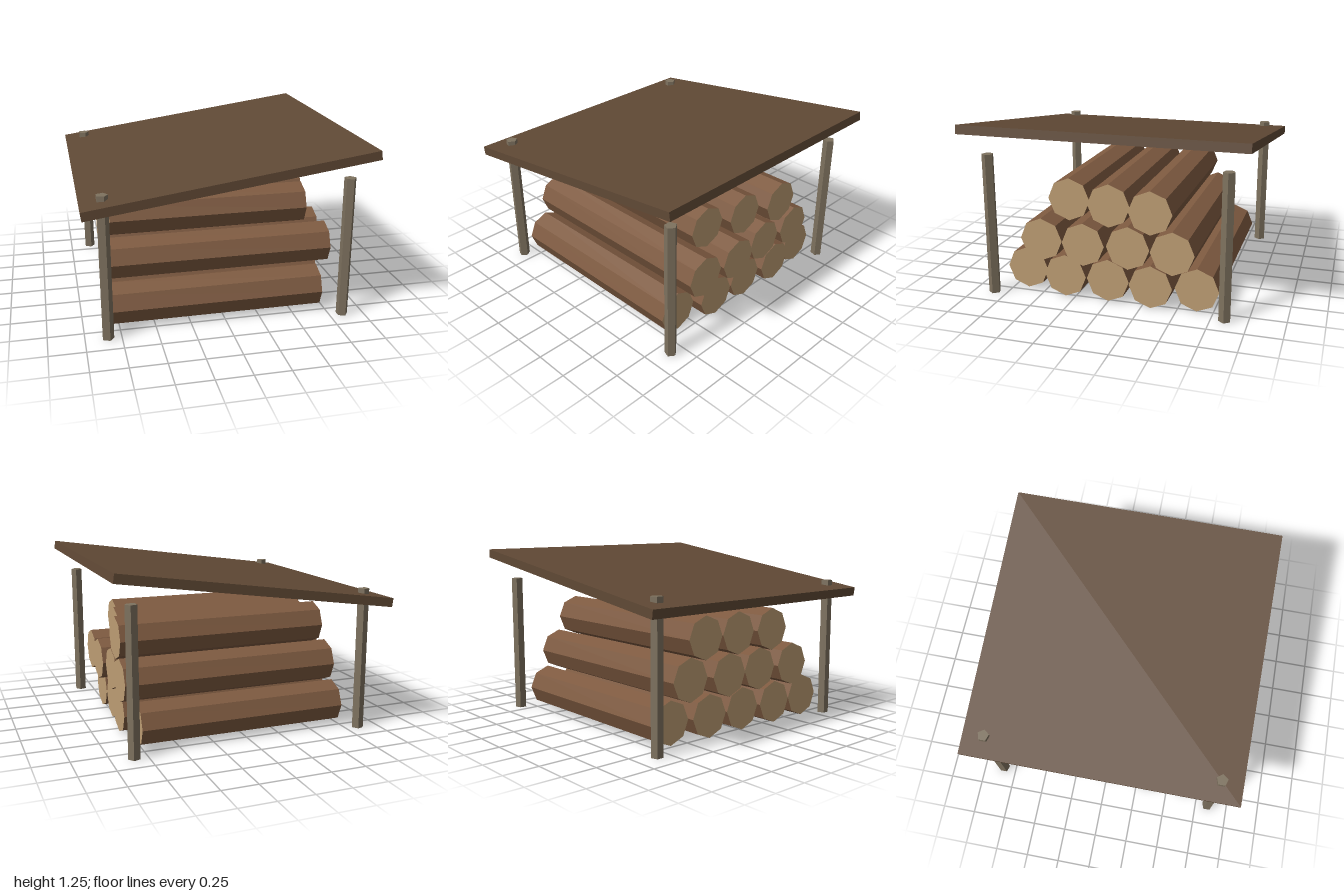
import * as THREE from 'three';

const paint = (name, color) => {
  const m = new THREE.MeshStandardMaterial({ color });
  m.name = name;
  return m;
};

// Faceted look: every face keeps its own normal
const flat = (geometry) => {
  const g = geometry.toNonIndexed();
  g.computeVertexNormals();
  return g;
};

export function createModel() {
  const group = new THREE.Group();
  group.name = 'woodShelter';

  const roofWood = paint('roofWood', 0x604935);
  const postWood = paint('postWood', 0x7e725f);
  const bark = paint('bark', 0x7e5a40);
  const cutWood = paint('cutWood', 0xbe9e74);

  const add = (name, geometry, material, x, y, z) => {
    const mesh = new THREE.Mesh(geometry, material);
    mesh.name = name;
    mesh.position.set(x, y, z);
    group.add(mesh);
    return mesh;
  };

  // Four five-sided posts; the pair on the low side pokes through the roof
  const postGeometry = flat(new THREE.CylinderGeometry(0.0425, 0.0425, 1.03, 5).rotateY(Math.PI / 2));
  for (const x of [-0.845, 0.845]) {
    for (const z of [-0.845, 0.845]) add('post', postGeometry, postWood, x, 0.515, z);
  }

  // Sloping roof slab
  const roof = add('roof', new THREE.BoxGeometry(2, 0.063, 2), roofWood, 0, 1.082, 0);
  roof.rotation.z = 0.14;

  // Stacked logs: each row runs front to back, each log has its own [left, right] ends
  const rows = [
    { y: 0.16, ends: [[-0.8, 0.71], [-0.805, 0.78], [-0.785, 0.78], [-0.78, 0.81], [-0.74, 0.77]] },
    { y: 0.43, ends: [[-0.83, 0.82], [-0.8, 0.84], [-0.81, 0.82], [-0.76, 0.84]] },
    { y: 0.697, ends: [[-0.77, 0.68], [-0.74, 0.75], [-0.74, 0.825]] },
  ];
  for (const { y, ends } of rows) {
    ends.forEach(([x0, x1], i) => {
      const z = ((ends.length - 1) / 2 - i) * 0.318;
      const geometry = flat(new THREE.CylinderGeometry(0.155, 0.155, x1 - x0, 8).rotateZ(Math.PI / 2));
      add('log', geometry, [bark, cutWood, cutWood], (x0 + x1) / 2, y, z);
    });
  }

  return group;
}
